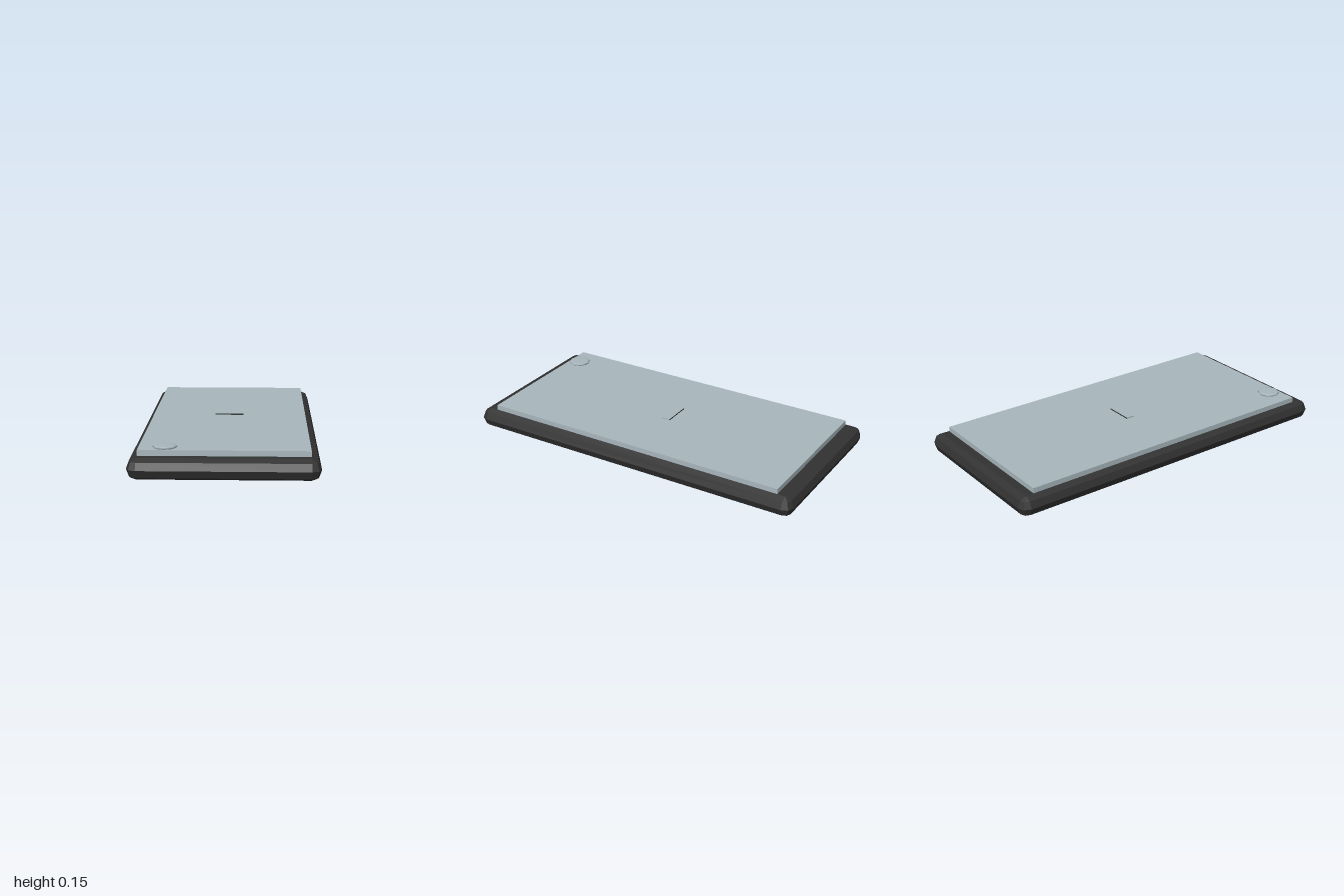
import * as THREE from 'three';
import { ConvexGeometry } from 'three/addons/geometries/ConvexGeometry.js';

const casing = new THREE.MeshStandardMaterial({ color: 0x323232 });
casing.name = 'dark casing';
const glass = new THREE.MeshStandardMaterial({ color: 0xa9b8be });
glass.name = 'pale glass';

// Box with faceted round edges, in 45 degree steps
function facetedSlab(halfX, height, halfZ, radius) {
  const points = [];
  for (const sx of [-1, 1]) for (const sz of [-1, 1]) {
    for (let ring = -2; ring <= 2; ring++) {
      const pitch = ring * Math.PI / 4;
      const r = Math.abs(ring) === 2 ? 0 : radius * Math.cos(pitch);
      const y = height / 2 * (1 + Math.sin(pitch));
      for (let i = 0; i < (r ? 3 : 1); i++) {
        const turn = i * Math.PI / 4;
        points.push(new THREE.Vector3(
          sx * (halfX - radius + r * Math.cos(turn)), y,
          sz * (halfZ - radius + r * Math.sin(turn))));
      }
    }
  }
  return new ConvexGeometry(points);
}

export function createModel() {
  const model = new THREE.Group();
  model.name = 'handheldDevice';
  const add = (name, geometry, material, x = 0, y = 0, z = 0) => {
    const mesh = new THREE.Mesh(geometry, material);
    mesh.name = name;
    mesh.position.set(x, y, z);
    model.add(mesh);
  };

  // Casing and raised screen
  add('body', facetedSlab(0.485, 0.11, 1, 0.05), casing);
  add('screen', new THREE.BoxGeometry(0.87, 0.034, 1.81), glass, 0, 0.122, 0);

  // Small centre bar with dark long sides
  add('centreBar', new THREE.BoxGeometry(0.16, 0.008, 0.05),
    [glass, glass, glass, glass, casing, casing], 0, 0.142, -0.025);

  // Domed eight-sided button near the front edge
  const profile = [[0.058, 0], [0.064, 0.006], [0.06, 0.012], [0.05, 0.0145], [0, 0.0145]]
    .map(([r, y]) => new THREE.Vector2(r, y));
  add('button', new THREE.LatheGeometry(profile, 8), glass, -0.3, 0.138, 0.838);

  return model;
}
